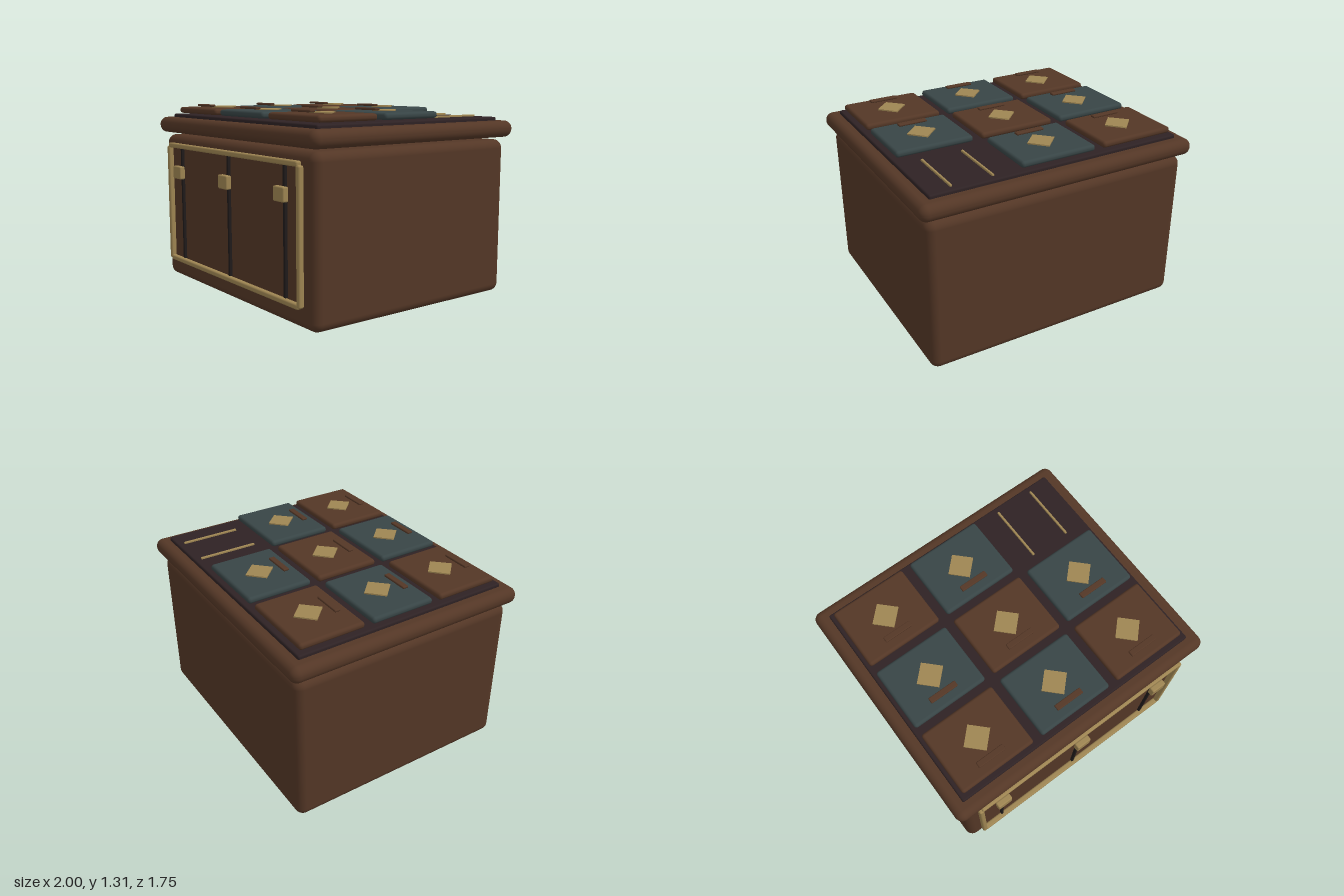
import * as THREE from 'three';
import { RoundedBoxGeometry } from 'three/addons/geometries/RoundedBoxGeometry.js';

const mat = (name, color) => {
  const m = new THREE.MeshStandardMaterial({ color });
  m.name = name;
  return m;
};

export function createModel() {
  const root = new THREE.Group();
  root.name = 'chest';
  const brown = mat('walnut brown', 0x543726);
  const teal = mat('slate teal', 0x384546);
  const gold = mat('aged brass', 0x9e8552);
  const dark = mat('dark lining', 0x2e2224);
  const black = mat('groove black', 0x1f1a1a);

  // Rounded block given by its extents on each axis
  const block = (name, material, [x0, x1], [y0, y1], [z0, z1], radius, segments = 3, parent = root) => {
    const geo = new RoundedBoxGeometry(x1 - x0, y1 - y0, z1 - z0, segments, radius);
    const mesh = new THREE.Mesh(geo, material);
    mesh.name = name;
    mesh.position.set((x0 + x1) / 2, (y0 + y1) / 2, (z0 + z1) / 2);
    parent.add(mesh);
    return mesh;
  };

  // Case, lid and the recessed-looking tray on top
  block('body', brown, [-0.955, 0.955], [0, 1.08], [-0.83, 0.81], 0.06, 5);
  block('lid', brown, [-1, 1], [1.097, 1.21], [-0.873, 0.85], 0.054, 5);
  block('topTray', dark, [-0.91, 0.91], [1.2, 1.234], [-0.785, 0.76], 0.012);

  // Brass frame on the front
  const frame = new THREE.Group();
  frame.name = 'frontFrame';
  root.add(frame);
  for (const y of [0.152, 1.007]) {
    block('frameRail', gold, [-0.832, 0.832], [y - 0.018, y + 0.018], [0.812, 0.853], 0.013, 3, frame);
  }
  for (const x of [-0.837, 0.837]) {
    block('framePost', gold, [x - 0.018, x + 0.018], [0.145, 1.0], [0.812, 0.853], 0.013, 3, frame);
  }

  // Door grooves with a brass latch on each
  for (const x of [-0.667, 0, 0.667]) {
    block('doorGroove', black, [x - 0.01, x + 0.01], [0.168, 0.992], [0.8, 0.83], 0.003, 1);
    block('latch', gold, [x - 0.056, x + 0.056], [0.768, 0.862], [0.83, 0.873], 0.01, 2);
  }

  // Four-sided flat plate for the tile inlays
  const diamond = new THREE.CylinderGeometry(0.103, 0.103, 0.009, 4);

  // Chequered tiles; the back left bay stays open
  [-0.53, -0.015, 0.498].forEach((z, row) => {
    [-0.61, 0, 0.608].forEach((x, col) => {
      if (row === 0 && col === 2) return;
      const tile = new THREE.Group();
      tile.name = 'tile';
      root.add(tile);
      const color = (row + col) % 2 ? teal : brown;
      block('tilePanel', color, [x - 0.273, x + 0.273], [1.241, 1.285], [z - 0.228, z + 0.228], 0.02, 3, tile);
      const inlay = new THREE.Mesh(diamond, gold);
      inlay.name = 'diamondInlay';
      inlay.position.set(x, 1.2895, z - 0.003);
      tile.add(inlay);
      block('tileHandle', brown, [x - 0.102, x + 0.102], [1.294, 1.31], [z + 0.124, z + 0.166], 0.007, 2, tile);
    });
  });

  // Brass runners in the open bay
  for (const x of [0.465, 0.747]) {
    block('bayRunner', gold, [x - 0.008, x + 0.008], [1.23, 1.247], [-0.74, -0.325], 0.005, 2);
  }

  return root;
}
